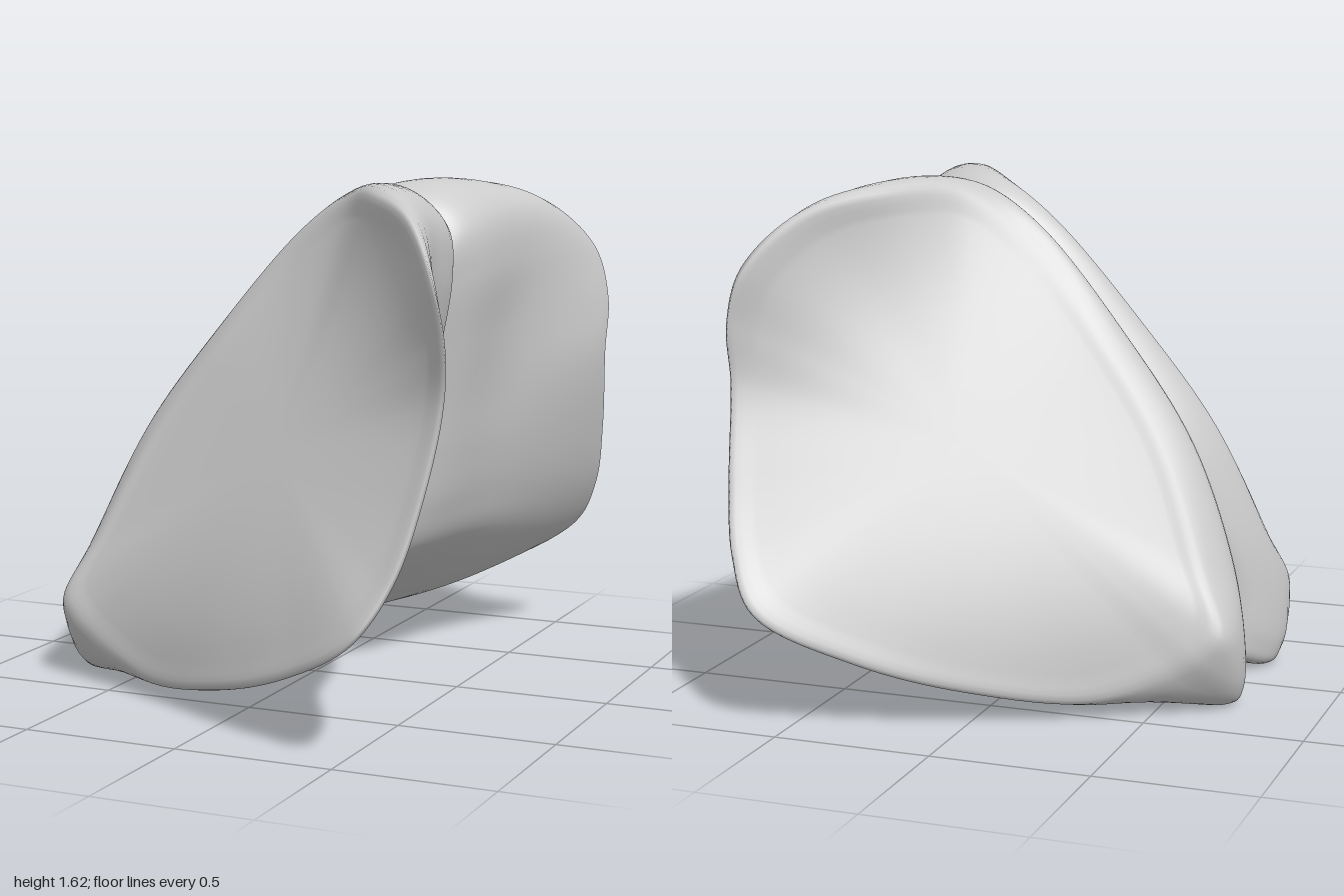
import * as THREE from 'three';

const V = (x, y, z) => new THREE.Vector3(x, y, z);

// Stations clockwise round the outline: front edge, middle of the rim, edge of the inner face
const EDGE = [
  [.2, 1.575, .19], [.39, 1.59, .42], [.57, 1.53, .61], [.7, 1.37, .76], [.745, 1.2, .775], [.74, 1.02, .765],
  [.71, .75, .85], [.66, .53, .94], [.565, .37, 1], [.3, .215, .88], [0, .11, .72], [-.35, .055, .53],
  [-.58, .13, .445], [-.67, .19, .425], [-.72, .26, .4], [-.64, .45, .33], [-.48, .8, .225], [-.27, 1.1, .17],
  [.01, 1.42, .13],
];
const RIM = [
  [.2, 1.595, .11], [.4, 1.605, .22], [.53, 1.52, .32], [.575, 1.36, .43], [.55, 1.14, .43], [.525, .94, .43],
  [.5, .74, .45], [.46, .56, .48], [.4, .42, .5], [.13, .22, .42], [-.15, .1, .36], [-.42, .04, .3],
  [-.71, .005, .24], [-.745, .06, .25], [-.75, .22, .26], [-.69, .45, .2], [-.54, .8, .14], [-.31, 1.12, .1],
  [0, 1.47, .08],
];
const INNER = [
  [.18, 1.53, .012], [.36, 1.5, .015], [.45, 1.41, .015], [.445, 1.27, .012], [.39, 1.06, .01], [.33, .87, .01],
  [.28, .7, .01], [.23, .53, .01], [.15, .4, .01], [-.07, .28, .01], [-.3, .19, .015], [-.45, .14, .025],
  [-.58, .11, .045], [-.6, .17, .055], [-.59, .27, .055], [-.53, .5, .025], [-.42, .8, .01], [-.22, 1.08, .008],
  [.03, 1.4, .008],
];

const loop = (pts) => new THREE.CatmullRomCurve3(pts.map((p) => V(...p)), true, 'centripetal');

// Sloping front face, blended into the outline so the upper corner flares forward
const slope = (x, y) => .89 + .528 * x - .538 * y;
function frontPoint(e, t) {
  const x = THREE.MathUtils.lerp(.08, e.x, t), y = THREE.MathUtils.lerp(.82, e.y, t);
  return V(x, y, slope(x, y) + (e.z - slope(e.x, e.y)) * t ** 3);
}

// Nearly flat inner face
function backPoint(i, t) {
  const p = V(0, .8, .004).lerp(i, t);
  p.z = .004 + (i.z - .004) * t ** 3;
  return p;
}

// Rounded shoulder between the inner face and the rim
function shoulder(i, m) {
  const p = i.clone().lerp(m, .55);
  p.z = THREE.MathUtils.lerp(i.z, m.z, .24);
  return p;
}

function shellGeometry(side) {
  const around = 152, rimSteps = 24, faceSteps = 12;
  const [edge, rim, inner] = [EDGE, RIM, INNER].map(loop);
  const pos = [], index = [];
  let rows = 0;
  for (let j = 0; j < around; j++) {
    const u = j / around;
    const e = edge.getPoint(u), m = rim.getPoint(u), i = inner.getPoint(u);
    const profile = new THREE.CatmullRomCurve3([backPoint(i, .85), i, shoulder(i, m), m, e, frontPoint(e, .88)]);
    const column = [];
    for (let k = 0; k < faceSteps; k++) column.push(backPoint(i, .85 * k / faceSteps));
    column.push(...profile.getPoints(rimSteps));
    for (let k = faceSteps - 1; k >= 0; k--) column.push(frontPoint(e, .88 * k / faceSteps));
    rows = column.length;
    column.forEach((p) => pos.push(p.x, p.y, p.z * side));
  }
  // The first and last rows each close to a single shared point
  const at = (r, j) => (r === 0 || r === rows - 1 ? r : (j % around) * rows + r);
  const tri = (a, b, c) => {
    if (a === b || b === c || a === c) return;
    index.push(...(side > 0 ? [a, b, c] : [a, c, b]));
  };
  for (let j = 0; j < around; j++) {
    for (let r = 0; r < rows - 1; r++) {
      const a = at(r, j), b = at(r + 1, j), c = at(r, j + 1), d = at(r + 1, j + 1);
      tri(a, b, c);
      tri(b, d, c);
    }
  }
  const geometry = new THREE.BufferGeometry();
  geometry.setAttribute('position', new THREE.Float32BufferAttribute(pos, 3));
  geometry.setIndex(index);
  geometry.computeVertexNormals();
  return geometry;
}

export function createModel() {
  const group = new THREE.Group();
  const material = new THREE.MeshStandardMaterial({ color: 0xcccccc });
  // Two mirrored halves meeting at z = 0
  for (const [name, side] of [['frontHalf', 1], ['backHalf', -1]]) {
    const mesh = new THREE.Mesh(shellGeometry(side), material);
    mesh.name = name;
    group.add(mesh);
  }
  return group;
}
